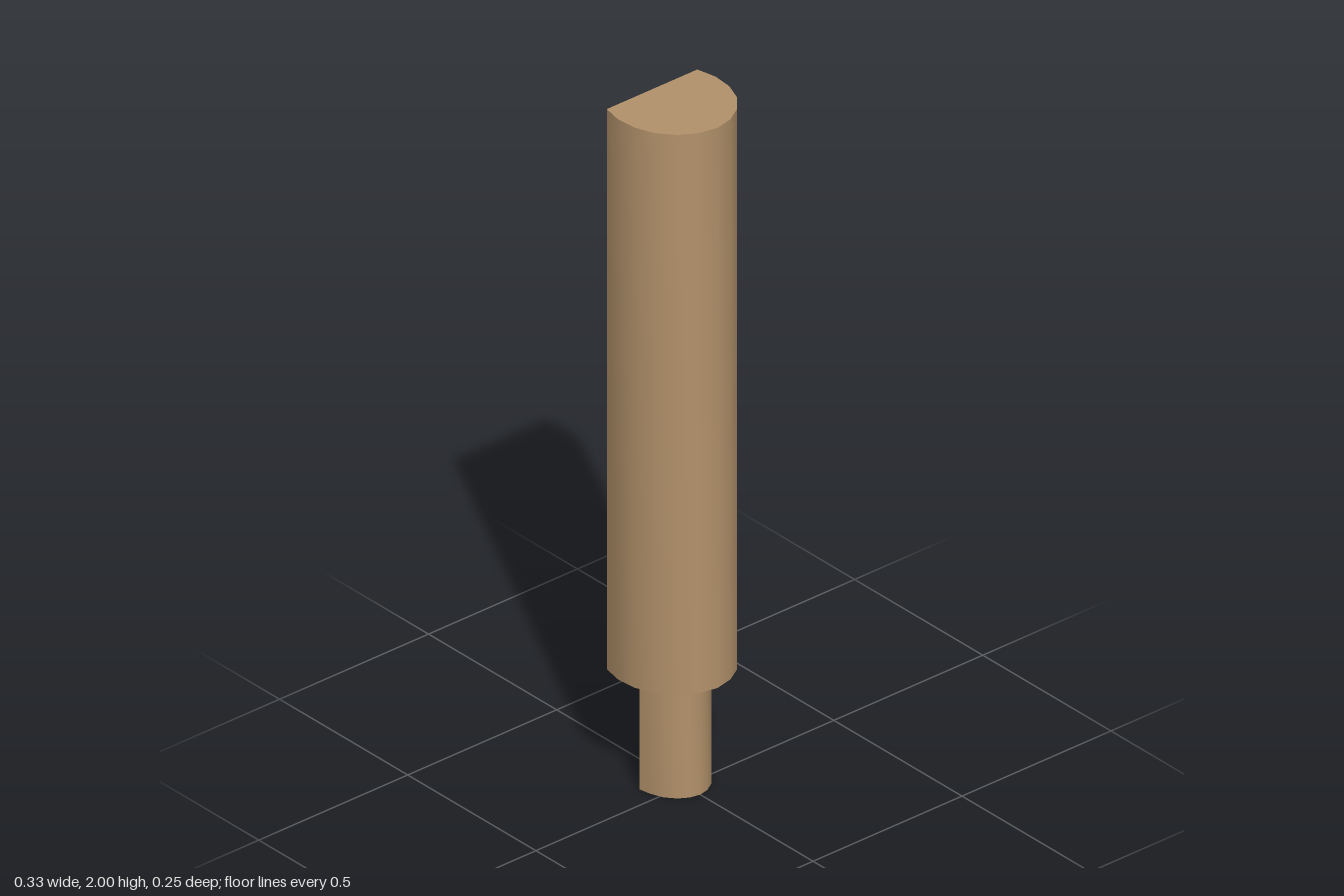
import * as THREE from 'three';
import { toCreasedNormals } from 'three/addons/utils/BufferGeometryUtils.js';

const wood = new THREE.MeshStandardMaterial({ color: 0xb3926b });

// Right half of each cross-section as [x, z], from the front tip to the back corner
const bodyHalf = [[0, 0.127], [0.053, 0.116], [0.1, 0.088], [0.138, 0.043],
  [0.159, -0.012], [0.164, -0.07], [0.152, -0.128]];
const tenonHalf = [[0, 0.06], [0.029, 0.054], [0.057, 0.037], [0.08, 0.009],
  [0.094, -0.027], [0.1, -0.061]];

// Upright prism with a mirrored cross-section: smooth rounded front, sharp flat back
function prism(name, half, bottom, top) {
  const mirrored = half.slice(1).reverse().map(([x, z]) => [-x, z]);
  const outline = [...mirrored, ...half].map(([x, z]) => new THREE.Vector2(x, -z));
  const geometry = new THREE.ExtrudeGeometry(new THREE.Shape(outline), {
    depth: top - bottom, bevelEnabled: false,
  });
  geometry.rotateX(-Math.PI / 2).translate(0, bottom, 0);
  const mesh = new THREE.Mesh(toCreasedNormals(geometry, Math.PI / 5), wood);
  mesh.name = name;
  return mesh;
}

export function createModel() {
  const group = new THREE.Group();
  group.name = 'halfRoundPost';
  group.add(prism('post', bodyHalf, 0.345, 2));
  group.add(prism('tenon', tenonHalf, 0, 0.345));
  return group;
}
